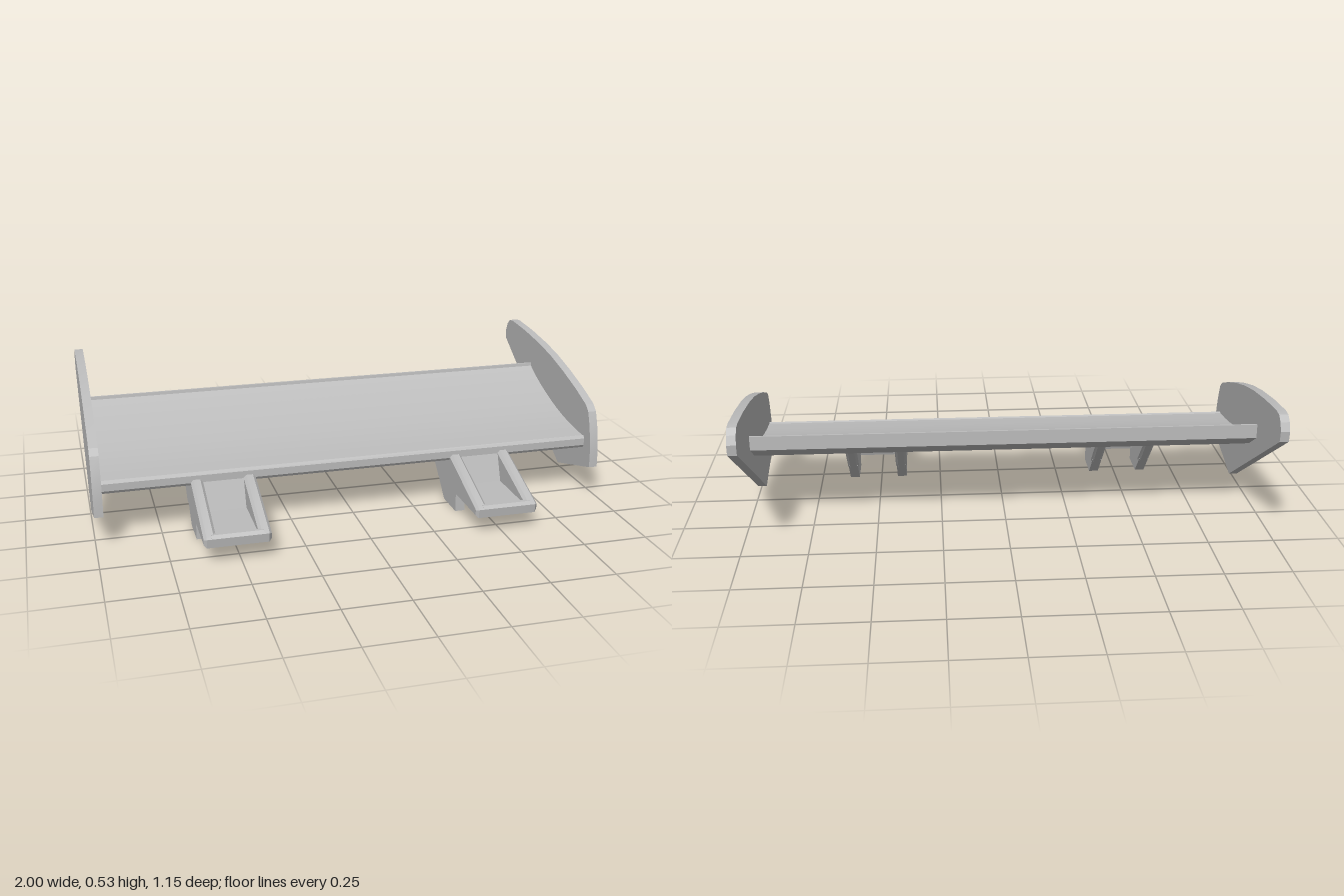
import * as THREE from 'three';
import { toCreasedNormals } from 'three/addons/utils/BufferGeometryUtils.js';

const grey = new THREE.MeshStandardMaterial({ color: 0xbcbcbc });
grey.name = 'light grey';

// Extrude a [z, y] side outline along x, centred on the given x
function sidePart(name, outline, width, x, bevel = 0) {
  const shape = new THREE.Shape(outline.map(([z, y]) => new THREE.Vector2(z, y)));
  const depth = width - 2 * bevel;
  const geo = new THREE.ExtrudeGeometry(shape, {
    depth, bevelEnabled: bevel > 0, bevelThickness: bevel,
    bevelSize: bevel, bevelOffset: -bevel, bevelSegments: 1,
  });
  geo.translate(0, 0, -depth / 2);
  geo.rotateY(-Math.PI / 2);
  geo.translate(x, 0, 0);
  const mesh = new THREE.Mesh(toCreasedNormals(geo, 0.35), grey);
  mesh.name = name;
  return mesh;
}

// Scooped wing section
const wingTop = new THREE.SplineCurve([
  [0.255, 0.236], [0.15, 0.246], [0.05, 0.262], [-0.05, 0.287],
  [-0.15, 0.32], [-0.23, 0.353], [-0.277, 0.378],
].map(p => new THREE.Vector2(...p))).getPoints(24).map(p => [p.x, p.y]);
const wingBottom = [
  [-0.28, 0.33], [-0.2, 0.279], [-0.1, 0.237], [0, 0.209], [0.1, 0.194], [0.2, 0.189],
];
const wingOutline = [
  [0.265, 0.189], [0.272, 0.2], [0.272, 0.228], [0.264, 0.24],
  ...wingTop, [-0.279, 0.39], [-0.288, 0.39], [-0.288, 0.335], ...wingBottom,
];

const plateOutline = [
  [0.332, 0.125], [0.33, 0.19], [0.322, 0.245], [0.308, 0.3], [0.29, 0.348], [0.265, 0.371],
  [0.17, 0.407], [0.04, 0.447], [-0.08, 0.477], [-0.2, 0.499], [-0.36, 0.518],
  [-0.5, 0.527], [-0.535, 0.523], [-0.558, 0.502], [-0.572, 0.47], [-0.568, 0.43], [0.05, 0.04],
];

// Mount bracket: two sloped walls on feet, with a tray between them
const wallOutline = [[0.57, 0.068], [0.574, 0.102], [0.562, 0.111], [0.27, 0.213], [0, 0.213], [0.14, 0.068]];
const footOutline = [[0.34, 0], [0.34, 0.09], [0.12, 0.09], [0.21, 0]];
const trayOutline = [
  [0.57, 0.068], [0.574, 0.102], [0.562, 0.113], [0.548, 0.113], [0.543, 0.098],
  [0.315, 0.098], [0.275, 0.2], [0.24, 0.2], [0.29, 0.068],
];

function mountBracket(x) {
  const bracket = new THREE.Group();
  bracket.name = 'mountBracket';
  for (const s of [-1, 1]) {
    bracket.add(sidePart('bracketWall', wallOutline, 0.046, x + s * 0.1, 0.01));
    bracket.add(sidePart('bracketFoot', footOutline, 0.038, x + s * 0.1));
  }
  bracket.add(sidePart('bracketTray', trayOutline, 0.19, x));
  return bracket;
}

export function createModel() {
  const model = new THREE.Group();
  model.name = 'rearWing';
  model.add(sidePart('wing', wingOutline, 1.95, 0));
  for (const s of [-1, 1]) {
    model.add(sidePart('endPlate', plateOutline, 0.034, s * 0.983));
    model.add(mountBracket(s * 0.513));
  }
  return model;
}
